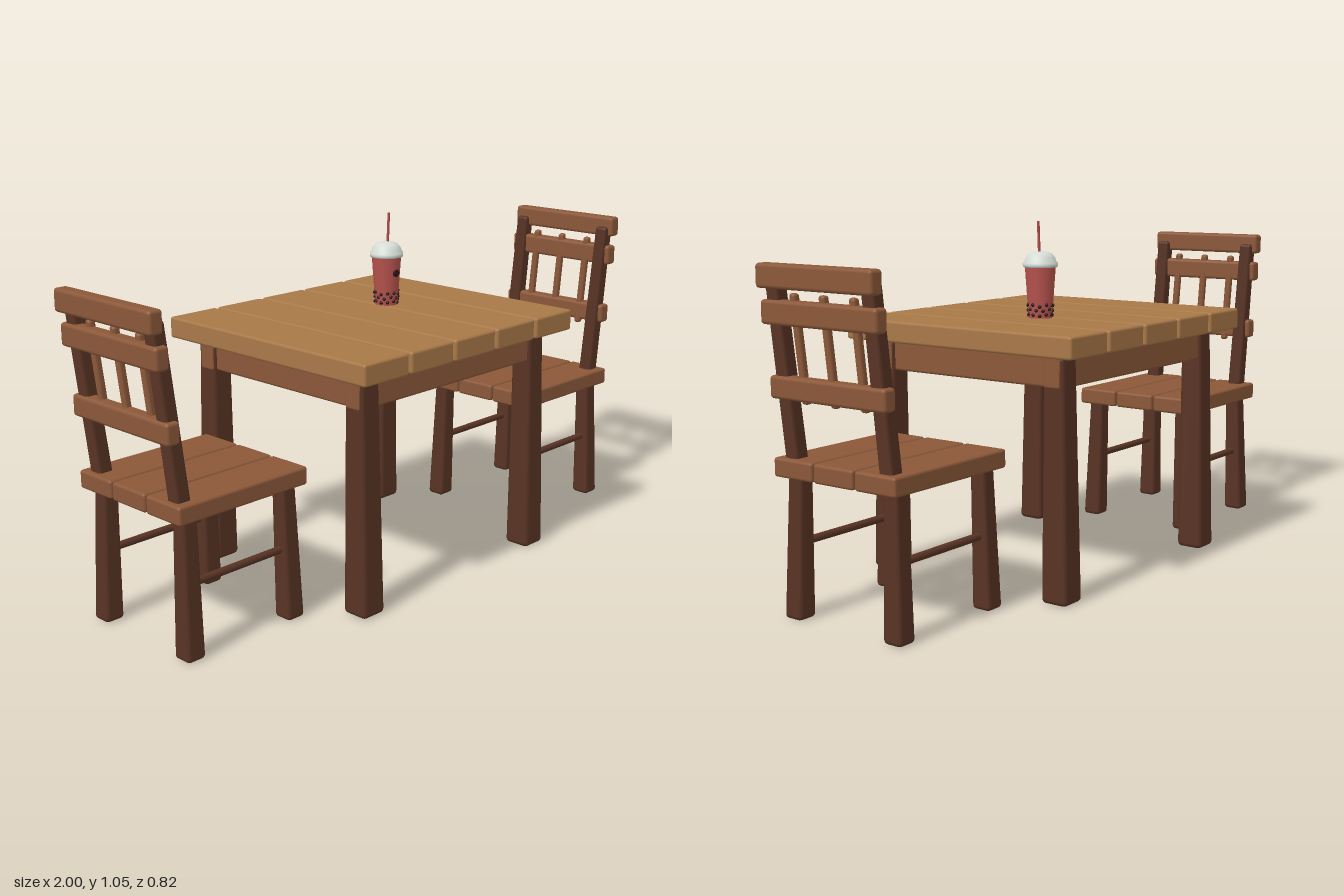
import * as THREE from 'three';
import { RoundedBoxGeometry } from 'three/addons/geometries/RoundedBoxGeometry.js';

const mat = (color) => new THREE.MeshStandardMaterial({ color });
const topWood = mat(0xa87848), wood = mat(0x8b5839), darkWood = mat(0x583324);
const drinkRed = mat(0xb5524c), pearlDark = mat(0x2c1a18), lidWhite = mat(0xd5dcd5), strawRed = mat(0xb04a48);

function add(parent, name, geometry, material, x = 0, y = 0, z = 0) {
  const mesh = new THREE.Mesh(geometry, material);
  mesh.name = name;
  mesh.position.set(x, y, z);
  parent.add(mesh);
  return mesh;
}

// Rounded board given by its min and max on each axis
function board(parent, name, material, [x0, x1], [y0, y1], [z0, z1], r = 0.008) {
  return add(parent, name, new RoundedBoxGeometry(x1 - x0, y1 - y0, z1 - z0, 2, r), material,
    (x0 + x1) / 2, (y0 + y1) / 2, (z0 + z1) / 2);
}

// Square post from a bottom to a top centre, tapering between two widths
function post(parent, name, material, bottom, top, wBottom, wTop, r = 0.012) {
  const h = top[1] - bottom[1];
  const g = new RoundedBoxGeometry(wBottom, h, wBottom, 2, r);
  const p = g.attributes.position;
  for (let i = 0; i < p.count; i++) {
    const t = p.getY(i) / h + 0.5;
    const s = 1 + (wTop / wBottom - 1) * t;
    p.setXYZ(i,
      p.getX(i) * s + bottom[0] + (top[0] - bottom[0]) * t,
      bottom[1] + h * t,
      p.getZ(i) * s + bottom[2] + (top[2] - bottom[2]) * t);
  }
  g.computeBoundingSphere();
  return add(parent, name, g, material);
}

// Round rod between two points
function rod(parent, name, material, a, b, radius) {
  const va = new THREE.Vector3(...a), vb = new THREE.Vector3(...b);
  const d = vb.clone().sub(va);
  const mid = va.add(vb).multiplyScalar(0.5);
  const mesh = add(parent, name, new THREE.CylinderGeometry(radius, radius, d.length(), 12), material, mid.x, mid.y, mid.z);
  mesh.quaternion.setFromUnitVectors(new THREE.Vector3(0, 1, 0), d.normalize());
  return mesh;
}

function createTable() {
  const table = new THREE.Group();
  table.name = 'table';
  // Five top planks with narrow gaps
  for (let i = 0; i < 5; i++) {
    const x = -0.459 + i * 0.1855;
    board(table, 'topPlank', topWood, [x, x + 0.176], [0.702, 0.766], [-0.41, 0.407]);
  }
  for (const s of [-1, 1]) {
    // Long aprons pass through the legs, side aprons sit between them
    const z = s * 0.307, x = s * 0.365;
    board(table, 'longApron', wood, [-0.407, 0.407], [0.61, 0.702], [z - 0.028, z + 0.028]);
    board(table, 'sideApron', wood, [x - 0.028, x + 0.028], [0.61, 0.702], [-0.32, 0.32]);
    for (const t of [-1, 1])
      post(table, 'tableLeg', darkWood, [s * 0.37, 0, t * 0.317], [s * 0.369, 0.702, t * 0.309], 0.086, 0.068, 0.014);
  }
  return table;
}

// Chair with its back towards +x
function createChair() {
  const chair = new THREE.Group();
  chair.name = 'chair';
  for (let i = -1; i <= 1; i++) {
    const z = i * 0.1465;
    board(chair, 'seatSlat', wood, [0.49, 0.942], [0.395, 0.448], [z - 0.07, z + 0.07]);
  }
  for (const s of [-1, 1]) {
    post(chair, 'frontLeg', darkWood, [0.533, 0, s * 0.18], [0.54, 0.41, s * 0.17], 0.062, 0.048);
    post(chair, 'backLeg', darkWood, [0.895, 0, s * 0.18], [0.888, 0.41, s * 0.17], 0.062, 0.048);
    post(chair, 'backPost', darkWood, [0.9, 0.43, s * 0.168], [0.962, 0.935, s * 0.168], 0.046, 0.042, 0.01);
    rod(chair, 'stretcher', darkWood, [0.535, 0.21, s * 0.175], [0.893, 0.21, s * 0.175], 0.011);
  }
  // Three back rails stepping outwards along the lean
  for (const [x, y0, y1] of [[0.938, 0.61, 0.672], [0.963, 0.808, 0.873], [0.978, 0.903, 0.968]])
    board(chair, 'backRail', wood, [x - 0.022, x + 0.022], [y0, y1], [-0.204, 0.204], 0.01);
  for (const z of [-0.105, 0, 0.105])
    post(chair, 'spindle', wood, [0.921, 0.598, z], [0.957, 0.892, z], 0.022, 0.022, 0.008);
  return chair;
}

function createDrink() {
  const drink = new THREE.Group();
  drink.name = 'drink';
  const lathe = (pts) => new THREE.LatheGeometry(pts.map(([x, y]) => new THREE.Vector2(x, y)), 32);
  add(drink, 'cup', new THREE.CylinderGeometry(0.046, 0.035, 0.155, 32), drinkRed, 0, 0.0775, 0);
  // Domed lid with a thicker rim
  add(drink, 'lid', lathe([[0, 0.15], [0.05, 0.15], [0.052, 0.155], [0.052, 0.162], [0.047, 0.167],
    [0.044, 0.178], [0.035, 0.189], [0.02, 0.195], [0, 0.197]]), lidWhite);
  rod(drink, 'straw', strawRed, [0.003, 0.15, 0], [0.01, 0.285, 0], 0.004);
  // Pearls showing through the cup wall in staggered rings
  for (let row = 0; row < 3; row++) {
    for (let i = 0; i < 11; i++) {
      const a = (i + row * 0.5) / 11 * Math.PI * 2;
      const y = 0.01 + row * 0.014 + 0.003 * Math.sin(i * 2.4 + row);
      const r = 0.034 + 0.07 * y;
      add(drink, 'pearl', new THREE.SphereGeometry(0.0058, 10, 8), pearlDark, r * Math.cos(a), y, r * Math.sin(a));
    }
  }
  // Plain oval patch on the front
  const patch = add(drink, 'frontPatch', new THREE.SphereGeometry(0.014, 16, 10), pearlDark, 0, 0.102, 0.041);
  patch.scale.set(1, 0.9, 0.3);
  drink.position.set(0.125, 0.766, -0.063);
  return drink;
}

export function createModel() {
  const model = new THREE.Group();
  model.name = 'diningSet';
  const leftChair = createChair(), rightChair = createChair();
  leftChair.name = 'leftChair';
  rightChair.name = 'rightChair';
  rightChair.rotation.y = Math.PI;
  model.add(createTable(), leftChair, rightChair, createDrink());
  return model;
}
